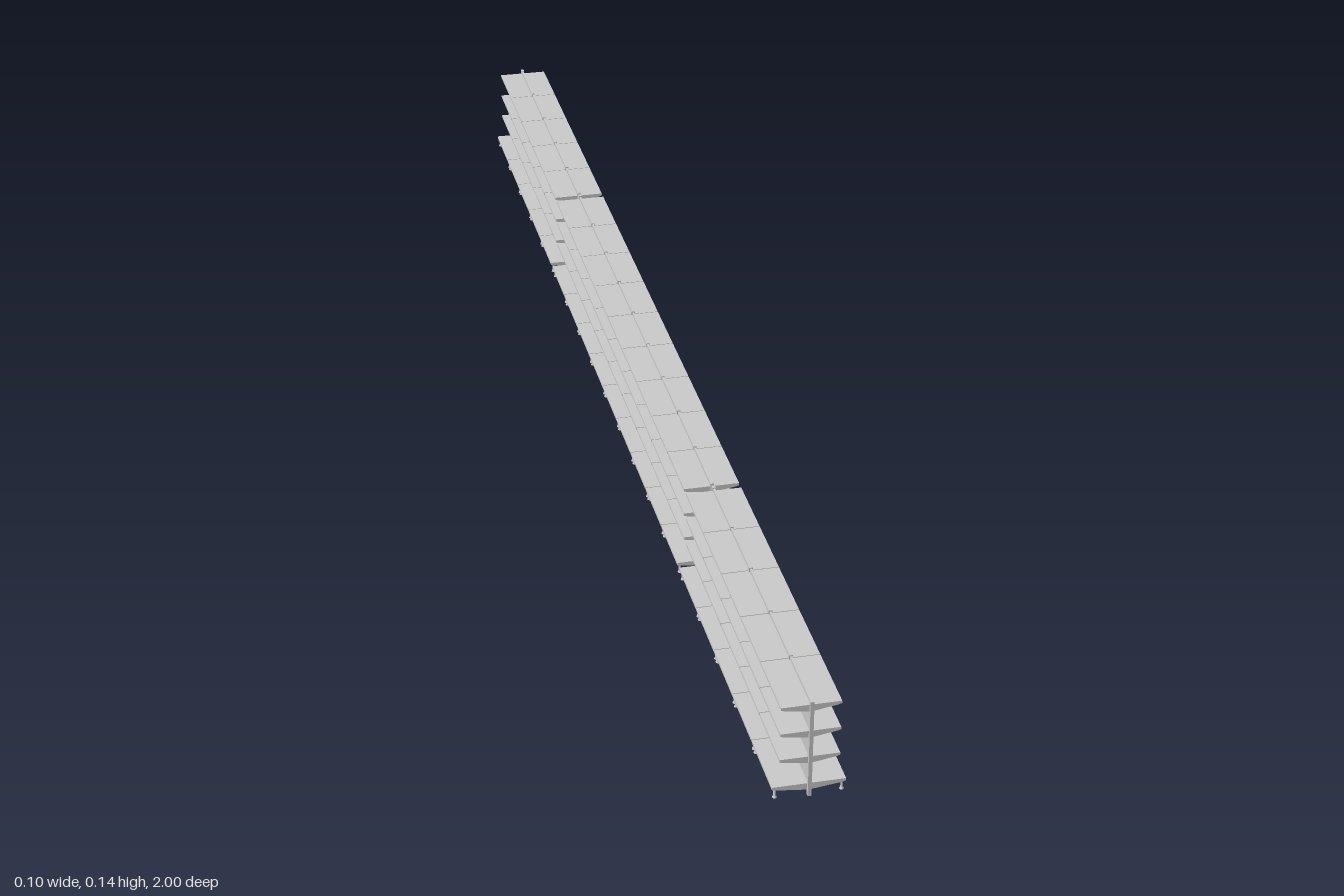
import * as THREE from 'three';

const material = new THREE.MeshStandardMaterial({ color: 0xcccccc, flatShading: true });

const RUNS = [5, 9, 5];           // bays in each run of shelving
const GAP = 0.011;                // space between runs
const POST = 0.006;
const PITCH = (2 - POST - 2 * GAP) / 19;
const HEIGHT = 0.143;
const LEVELS = [
  { name: 'base', top: 0.0175, half: 0.048 },
  { name: 'lower', top: 0.0585, half: 0.039 },
  { name: 'middle', top: 0.0975, half: 0.039 },
  { name: 'upper', top: 0.137, half: 0.039 },
];

// Extrudes an outline in x and y, centred along z
function extrude(points, length) {
  const shape = new THREE.Shape(points.map(([x, y]) => new THREE.Vector2(x, y)));
  return new THREE.ExtrudeGeometry(shape, { depth: length, bevelEnabled: false })
    .translate(0, 0, -length / 2);
}

// Tapered bracket carrying both sides of a shelf
const bracketGeometry = (w) => extrude([
  [-w, 0], [-w, -0.0035], [-w + 0.004, -0.005], [-0.004, -0.0098],
  [0.004, -0.0098], [w - 0.004, -0.005], [w, -0.0035], [w, 0],
], 0.0018);

// Thin shelf with a folded lip along each outer edge
const shelfGeometry = (w) => extrude([
  [-w, 0], [-w, -0.0038], [-w + 0.0015, -0.0038], [-w + 0.0015, -0.0015],
  [w - 0.0015, -0.0015], [w - 0.0015, -0.0038], [w, -0.0038], [w, 0],
], PITCH - 0.0012);

export function createModel() {
  const model = new THREE.Group();
  model.name = 'shelving';

  const add = (parent, name, geometry, x, y, z) => {
    const mesh = new THREE.Mesh(geometry, material);
    mesh.name = name;
    mesh.position.set(x, y, z);
    parent.add(mesh);
  };

  const shelves = LEVELS.map((l) => shelfGeometry(l.half));
  const brackets = LEVELS.map((l) => bracketGeometry(l.half));
  const postGeometry = new THREE.BoxGeometry(0.005, HEIGHT, POST);
  const panelGeometry = new THREE.BoxGeometry(0.003, HEIGHT - 0.01, PITCH);
  const legGeometry = new THREE.CylinderGeometry(0.0018, 0.0018, 0.012, 8);
  const footGeometry = new THREE.CylinderGeometry(0.002, 0.0032, 0.003, 8);

  let start = -1 + POST / 2;
  RUNS.forEach((count, r) => {
    const run = new THREE.Group();
    run.name = `run${r + 1}`;
    model.add(run);

    // Uprights at both ends and between bays
    for (let i = 0; i <= count; i++) {
      add(run, 'upright', postGeometry, 0, HEIGHT / 2, start + i * PITCH);
    }

    for (let i = 0; i < count; i++) {
      const bay = new THREE.Group();
      bay.name = 'bay';
      bay.position.z = start + (i + 0.5) * PITCH;
      run.add(bay);
      add(bay, 'backPanel', panelGeometry, 0, HEIGHT / 2 + 0.0035, 0);

      LEVELS.forEach((level, k) => {
        add(bay, `${level.name}Shelf`, shelves[k], 0, level.top, 0);
        for (const end of [-1, 1]) {
          add(bay, `${level.name}Bracket`, brackets[k], 0, level.top - 0.0002,
            end * (PITCH / 2 - 0.002));
        }
      });

      // Legs with flared feet under the base corners
      for (const end of [-1, 1]) {
        for (const side of [-1, 1]) {
          const z = end * (PITCH / 2 - 0.0042);
          add(bay, 'leg', legGeometry, side * 0.0435, 0.009, z);
          add(bay, 'foot', footGeometry, side * 0.0435, 0.0015, z);
        }
      }
    }
    start += count * PITCH + GAP;
  });
  return model;
}
